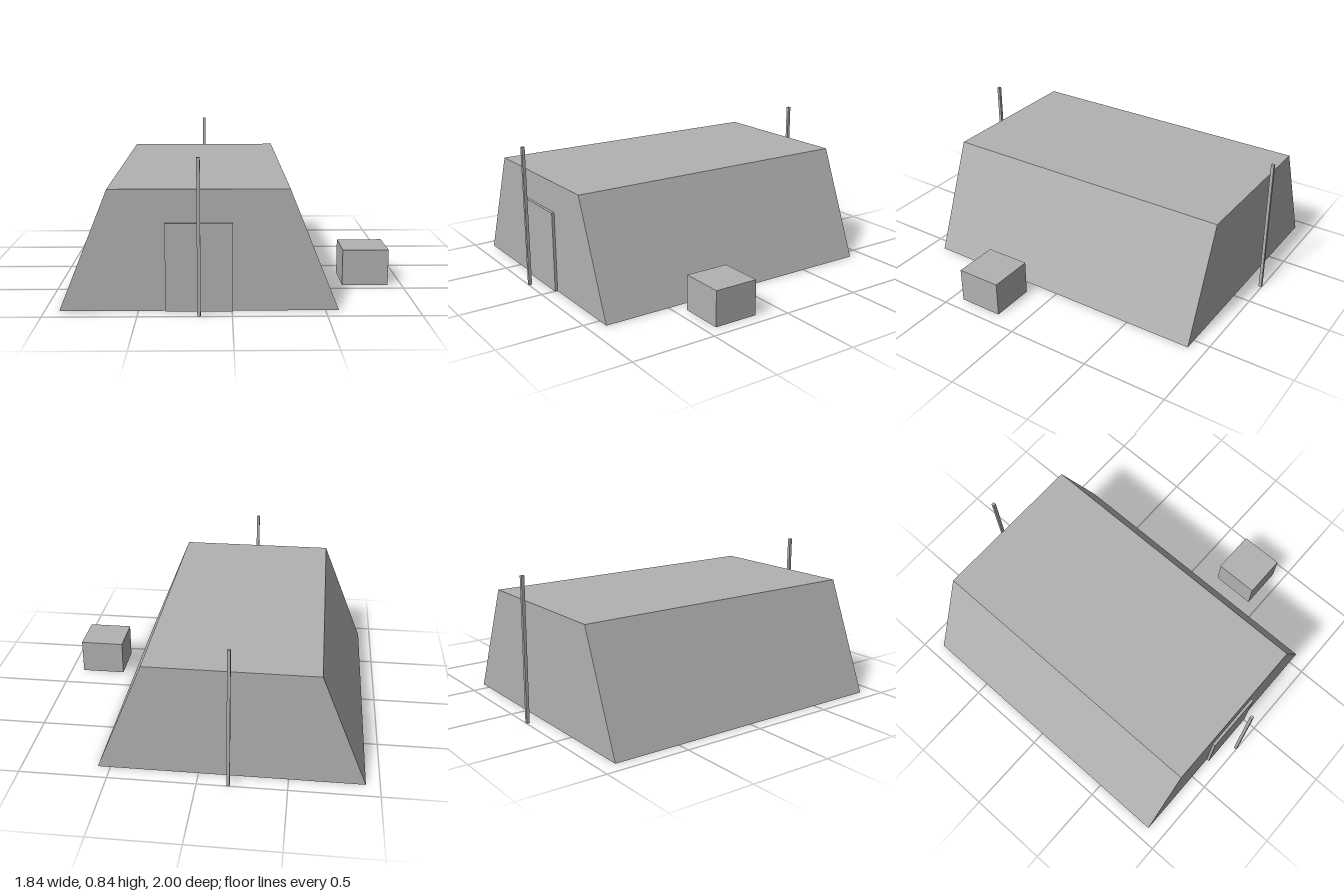
import * as THREE from 'three';

const CENTER_X = -0.175;

export function createModel() {
  const group = new THREE.Group();
  group.name = 'tentCamp';
  const canvas = new THREE.MeshStandardMaterial({ color: 0xb2b2b2 });
  canvas.name = 'grey canvas';

  const add = (name, geometry, x, y, z) => {
    const mesh = new THREE.Mesh(geometry, canvas);
    mesh.name = name;
    mesh.position.set(x, y, z);
    group.add(mesh);
  };
  // Box standing on the ground
  const addBox = (name, w, h, d, x, z) =>
    add(name, new THREE.BoxGeometry(w, h, d), x, h / 2, z);

  // Tent body: trapezoid section run along z
  const section = new THREE.Shape([
    new THREE.Vector2(-0.747, 0),
    new THREE.Vector2(0.747, 0),
    new THREE.Vector2(0.48, 0.66),
    new THREE.Vector2(-0.48, 0.66),
  ]);
  add('tentBody', new THREE.ExtrudeGeometry(section, { depth: 1.8, bevelEnabled: false }), CENTER_X, 0, -0.9);

  // Door flap on the front wall
  addBox('doorFlap', 0.36, 0.48, 0.018, CENTER_X, 0.907);

  // Slim square poles in front of and behind the tent
  addBox('frontPole', 0.018, 0.84, 0.018, CENTER_X, 0.991);
  addBox('backPole', 0.018, 0.84, 0.018, CENTER_X, -0.991);

  // Supply crate beside the tent
  addBox('crate', 0.268, 0.21, 0.268, 0.786, 0.297);

  return group;
}
